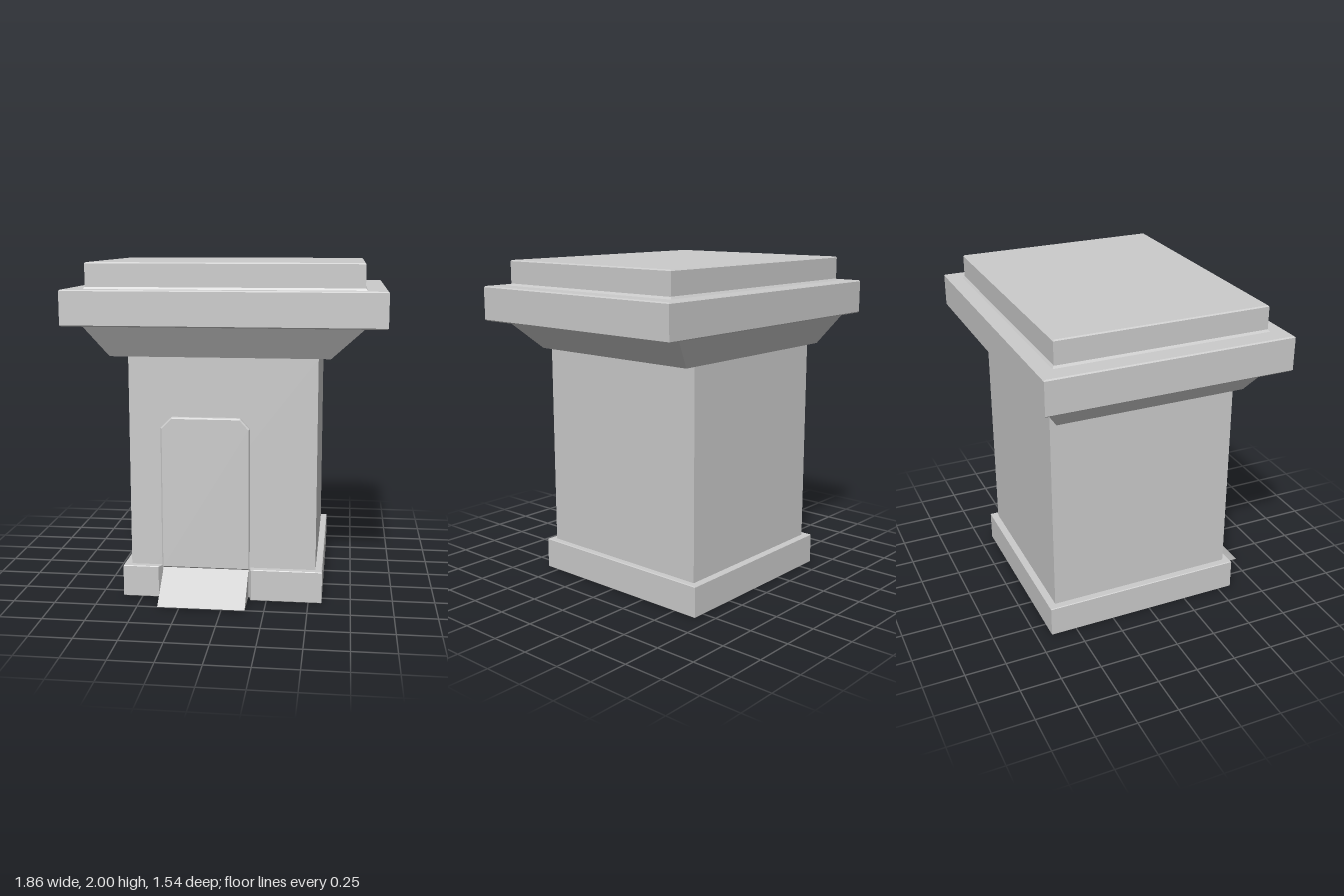
import * as THREE from 'three';

const material = new THREE.MeshStandardMaterial({ color: 0xcccccc });

function add(group, name, geometry) {
  const mesh = new THREE.Mesh(geometry, material);
  mesh.name = name;
  group.add(mesh);
  return mesh;
}

// Extrude an outline with a narrow chamfer that stays inside the given size
function chamfered(points, depth, bevel) {
  const shape = new THREE.Shape(points.map(([x, y]) => new THREE.Vector2(x, y)));
  const geometry = new THREE.ExtrudeGeometry(shape, {
    depth: depth - 2 * bevel, bevelEnabled: bevel > 0, bevelSegments: 1,
    bevelSize: bevel, bevelThickness: bevel, bevelOffset: -bevel,
  });
  return geometry.translate(0, 0, bevel);
}

// Plan outline given as [x, z], raised from y0 to y1
function plate(plan, y0, y1, bevel) {
  const outline = plan.map(([x, z]) => [x, -z]);
  return chamfered(outline, y1 - y0, bevel).rotateX(-Math.PI / 2).translate(0, y0, 0);
}

const rect = (x0, x1, z0, z1) => [[x0, z1], [x1, z1], [x1, z0], [x0, z0]];

// Four-sided block between two rectangles [x0, x1, z0, z1]
function taper(bottom, top, y0, y1) {
  const geometry = new THREE.BoxGeometry(1, 1, 1);
  const p = geometry.attributes.position;
  for (let i = 0; i < p.count; i++) {
    const r = p.getY(i) > 0 ? top : bottom;
    p.setXYZ(i, p.getX(i) > 0 ? r[1] : r[0], p.getY(i) > 0 ? y1 : y0, p.getZ(i) > 0 ? r[3] : r[2]);
  }
  geometry.computeVertexNormals();
  return geometry;
}

export function createModel() {
  const group = new THREE.Group();
  group.name = 'kiosk';

  // Plinth with a slot in front for the ramp
  add(group, 'plinth', plate([
    [-0.615, 0.587], [-0.4, 0.587], [-0.38, 0.54], [0.145, 0.54], [0.155, 0.587],
    [0.58, 0.587], [0.58, -0.66], [-0.615, -0.66],
  ], 0, 0.192, 0.004));

  // Main block
  const body = [-0.57, 0.54, -0.617, 0.545];
  add(group, 'body', taper(body, body, 0.01, 1.46));

  // Door panel with clipped top corners
  add(group, 'door', chamfered([
    [-0.38, 0.185], [0.147, 0.185], [0.147, 1.04], [0.09, 1.103], [-0.315, 1.103], [-0.38, 1.04],
  ], 0.047, 0.008).translate(0, 0, 0.53));

  // Wedge ramp, drawn in profile and turned to run along x
  add(group, 'ramp', chamfered([[-0.775, 0.01], [-0.54, 0.01], [-0.54, 0.187]], 0.515, 0)
    .rotateY(Math.PI / 2).translate(-0.375, 0, 0));

  // Flared support below the roof
  add(group, 'cornice', taper([-0.68, 0.61, -0.617, 0.545], [-0.81, 0.805, -0.728, 0.67], 1.455, 1.645));

  // Roof slab, small cove and upper slab
  add(group, 'roofSlab', plate(rect(-0.93, 0.925, -0.77, 0.705), 1.64, 1.848, 0.007));
  add(group, 'roofCove', taper([-0.815, 0.81, -0.682, 0.615], [-0.8, 0.795, -0.668, 0.602], 1.845, 1.863));
  add(group, 'roofCap', plate(rect(-0.802, 0.797, -0.669, 0.604), 1.845, 2, 0.007));

  return group;
}
